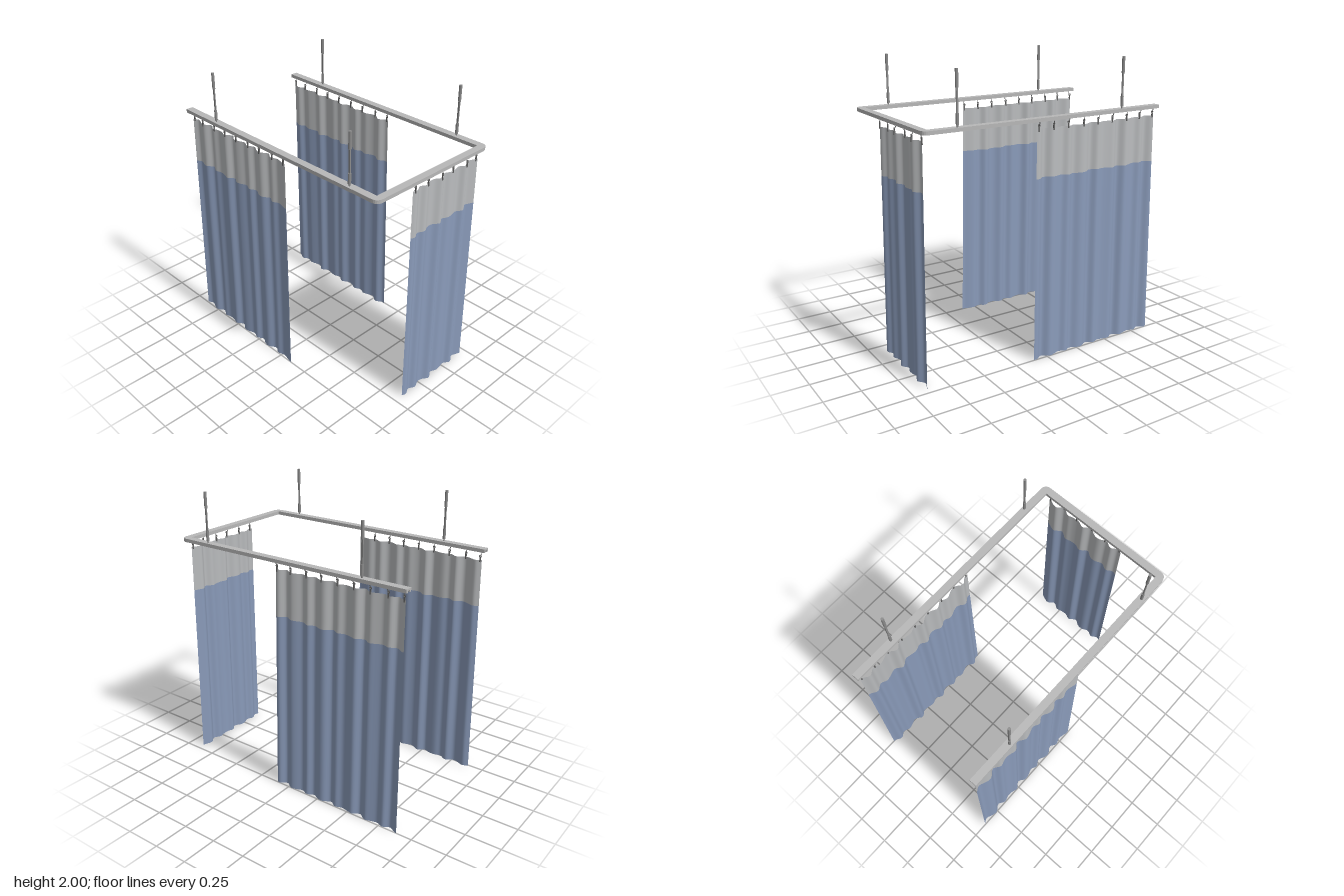
import * as THREE from 'three';

const mat = (name, color, side = THREE.FrontSide) => {
  const m = new THREE.MeshStandardMaterial({ color, side });
  m.name = name;
  return m;
};

export function createModel() {
  const model = new THREE.Group();
  model.name = 'curtainTrackSet';
  const metal = mat('brushedMetal', 0xb8b8b8);
  const steel = mat('hangerSteel', 0x8c8c8c);
  const dark = mat('hookGrey', 0x686868);
  const mesh = mat('paleNetting', 0xbabcbe, THREE.DoubleSide);
  const cloth = mat('blueCloth', 0x8a9bba, THREE.DoubleSide);

  const add = (parent, name, geometry, material, x = 0, y = 0, z = 0) => {
    const m = new THREE.Mesh(geometry, material);
    m.name = name;
    m.position.set(x, y, z);
    parent.add(m);
    return m;
  };

  // U-shaped band in plan, open at the back, between two offsets from the outer edge
  const band = (outer, inner, height) => {
    const xo = 0.51 - outer, zo = 0.895 - outer, r = 0.05 - outer;
    const xi = 0.51 - inner, zi = 0.895 - inner, q = Math.max(0.055 - inner, 0.004);
    const s = new THREE.Shape();
    s.moveTo(-xo, -0.9);
    s.lineTo(-xo, zo - r);
    s.quadraticCurveTo(-xo, zo, -xo + r, zo);
    s.lineTo(xo - r, zo);
    s.quadraticCurveTo(xo, zo, xo, zo - r);
    s.lineTo(xo, -0.9);
    s.lineTo(xi, -0.9);
    s.lineTo(xi, zi - q);
    s.quadraticCurveTo(xi, zi, xi - q, zi);
    s.lineTo(-xi + q, zi);
    s.quadraticCurveTo(-xi, zi, -xi, zi - q);
    s.lineTo(-xi, -0.9);
    const g = new THREE.ExtrudeGeometry(s, { depth: height, bevelEnabled: false, curveSegments: 6 });
    return g.rotateX(Math.PI / 2);
  };

  // Track: top plate with two walls leaving a slot underneath
  add(model, 'trackTop', band(0, 0.05, 0.012), metal, 0, 1.658, 0);
  add(model, 'trackOuterWall', band(0, 0.016, 0.012), metal, 0, 1.646, 0);
  add(model, 'trackInnerWall', band(0.034, 0.05, 0.012), metal, 0, 1.646, 0);

  // Ceiling hangers: flat bar between two sleeves
  const sleeve = (r, h) => new THREE.CylinderGeometry(r, r, h, 10);
  for (const x of [-0.49, 0.49]) {
    for (const z of [-0.585, 0.66]) {
      const hanger = new THREE.Group();
      hanger.name = 'hanger';
      hanger.position.set(x, 0, z);
      add(hanger, 'upperSleeve', sleeve(0.01, 0.11), steel, 0, 1.945, 0);
      add(hanger, 'bar', new THREE.BoxGeometry(0.008, 0.16, 0.012), steel, 0, 1.815, 0);
      add(hanger, 'lowerSleeve', sleeve(0.01, 0.07), steel, 0, 1.705, 0);
      add(hanger, 'footPin', sleeve(0.005, 0.02), steel, 0, 1.663, 0);
      model.add(hanger);
    }
  }

  // Folds as a function of distance along the curtain
  const fold = (s, phase) =>
    0.011 * Math.cos((s - phase) * Math.PI * 2 / 0.12) +
    0.005 * Math.sin(s * 31 + phase * 9) + 0.003 * Math.sin(s * 83 + phase);

  // Rippled sheet: ends widen and the cloth swings outward towards the floor
  const sheet = (top, bottom, y0, y1, phase, out) => {
    const cols = 96, rows = 6, pos = [], idx = [];
    for (let j = 0; j <= rows; j++) {
      for (let i = 0; i <= cols; i++) {
        const u = i / cols;
        const s = THREE.MathUtils.lerp(top[0], top[1], u);
        const y = THREE.MathUtils.lerp(y0(s), y1(s), j / rows);
        const drop = 1 - y / 1.58;
        const x = THREE.MathUtils.lerp(s, THREE.MathUtils.lerp(bottom[0], bottom[1], u), drop);
        pos.push(x, y, out + 0.02 * drop + fold(s, phase));
        if (i < cols && j < rows) {
          const a = j * (cols + 1) + i, c = a + cols + 1;
          idx.push(a, a + 1, c + 1, a, c + 1, c);
        }
      }
    }
    const g = new THREE.BufferGeometry();
    g.setAttribute('position', new THREE.Float32BufferAttribute(pos, 3));
    g.setIndex(idx);
    g.computeVertexNormals();
    return g;
  };

  // Curtain built along local x, facing local +z
  const curtain = (name, top, bottom, hooks, out, slot, turn) => {
    const group = new THREE.Group();
    group.name = name;
    group.rotation.y = turn;
    const phase = hooks[0];
    const seam = s => 1.26 + 0.003 * Math.sin(s * 17 + 1);
    add(group, 'netting', sheet(top, bottom, seam, () => 1.58, phase, out), mesh);
    add(group, 'cloth', sheet(top, bottom, () => 0, seam, phase, out), cloth);
    for (const s of hooks) {
      const z = out + fold(s, phase);
      const hook = new THREE.Group();
      hook.name = 'hook';
      add(hook, 'runner', new THREE.BoxGeometry(0.012, 0.012, 0.014), dark, s, 1.64, slot);
      const path = new THREE.CatmullRomCurve3([
        new THREE.Vector3(s, 1.638, slot),
        new THREE.Vector3(s, 1.62, slot),
        new THREE.Vector3(s, 1.605, z)]);
      add(hook, 'stem', new THREE.TubeGeometry(path, 6, 0.0025, 5), dark);
      add(hook, 'ring', new THREE.TorusGeometry(0.007, 0.003, 5, 10), dark, s, 1.606, z);
      add(hook, 'clip', new THREE.BoxGeometry(0.008, 0.036, 0.008), dark, s, 1.584, z);
      group.add(hook);
    }
    model.add(group);
  };

  const frontHooks = [-0.155, -0.035, 0.085, 0.205, 0.325, 0.434];
  const sideHooks = [0.072, -0.04, -0.16, -0.28, -0.4, -0.52, -0.64, -0.76, -0.87];
  curtain('frontCurtain', [-0.17, 0.445], [-0.18, 0.45], frontHooks, 0.862, 0.87, 0);
  curtain('leftCurtain', [-0.085, 0.88], [-0.105, 0.887], sideHooks.map(z => -z), 0.467, 0.485, Math.PI / 2);
  curtain('rightCurtain', [-0.88, 0.085], [-0.887, 0.105], sideHooks, 0.467, 0.485, -Math.PI / 2);
  return model;
}
